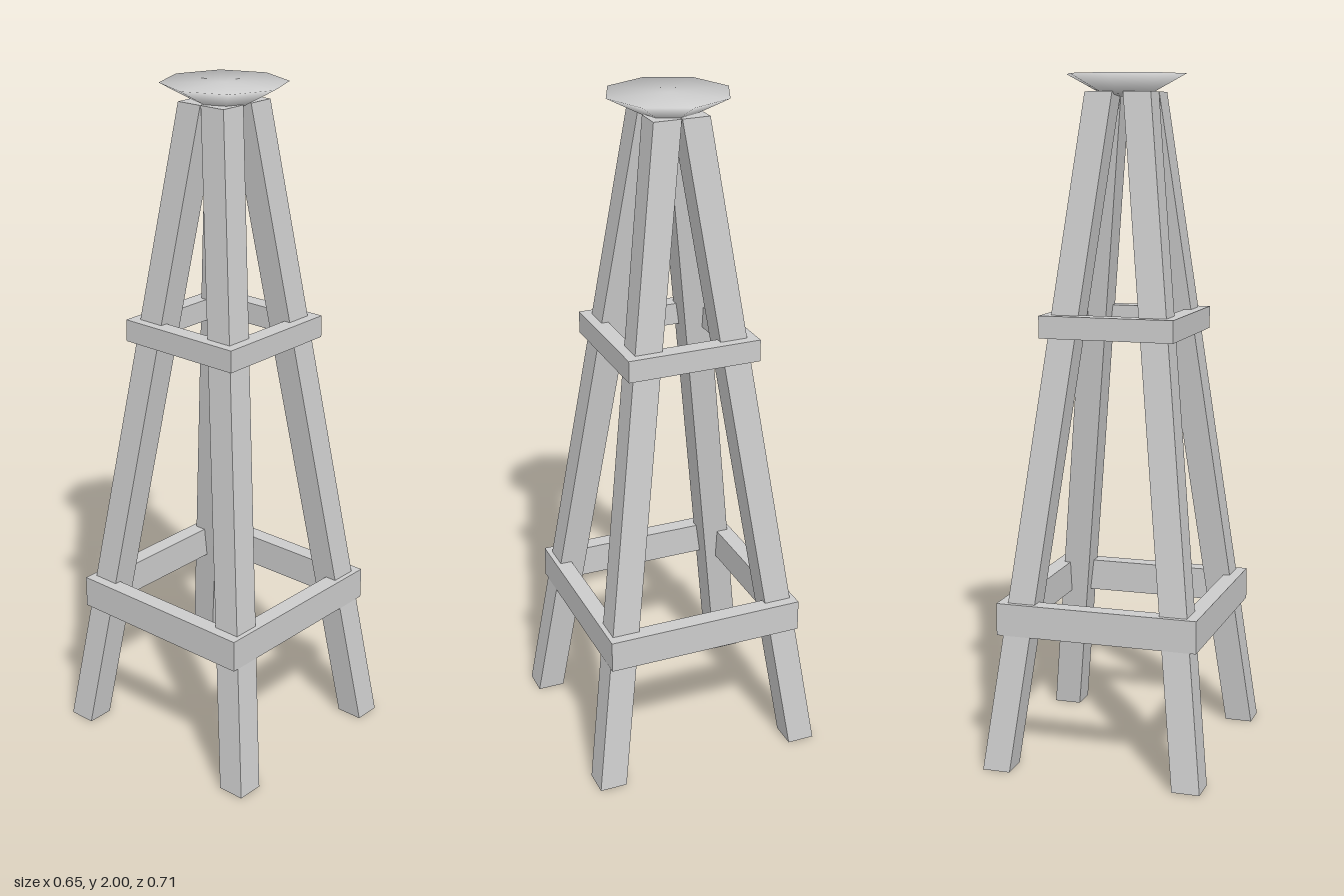
import * as THREE from 'three';

const grey = () => new THREE.MeshStandardMaterial({ color: 0xcccccc });

// Leaning post with level ends: a box whose top is sheared toward the axis
function legGeometry(width, foot, head, height) {
  const geo = new THREE.BoxGeometry(width, height, width);
  geo.translate(0, height / 2, 0);
  const pos = geo.attributes.position;
  for (let i = 0; i < pos.count; i++) {
    const t = pos.getY(i) / height;
    pos.setX(i, pos.getX(i) + THREE.MathUtils.lerp(foot[0], head[0], t));
    pos.setZ(i, pos.getZ(i) + THREE.MathUtils.lerp(foot[1], head[1], t));
  }
  const flat = geo.toNonIndexed();
  flat.computeVertexNormals();
  return flat;
}

// Square ring of rails
function braceGeometry(half, thickness, y0, y1) {
  const square = (s, path) => path.moveTo(-s, -s).lineTo(s, -s).lineTo(s, s).lineTo(-s, s).closePath();
  const shape = square(half, new THREE.Shape());
  shape.holes.push(square(half - thickness, new THREE.Path()));
  const geo = new THREE.ExtrudeGeometry(shape, { depth: y1 - y0, bevelEnabled: false });
  geo.rotateX(-Math.PI / 2);
  geo.translate(0, y0, 0);
  return geo;
}

export function createModel() {
  const model = new THREE.Group();
  model.name = 'stool';
  const add = (name, geometry) => {
    const mesh = new THREE.Mesh(geometry, grey());
    mesh.name = name;
    model.add(mesh);
  };

  // Four splayed legs
  for (const [zName, sz] of [['front', 1], ['back', -1]]) {
    for (const [xName, sx] of [['Left', 1], ['Right', -1]]) {
      add(`${zName}${xName}Leg`,
        legGeometry(0.082, [sx * 0.286, sz * 0.312], [sx * 0.057, sz * 0.042], 1.95));
    }
  }

  // Rails around the legs
  add('lowerBrace', braceGeometry(0.3, 0.05, 0.395, 0.49));
  add('upperBrace', braceGeometry(0.2, 0.05, 1.255, 1.32));

  // Eight-sided seat, flat on top and rounded below
  const profile = [[0, 1.935], [0.07, 1.942], [0.18, 2], [0, 2]]
    .map(([r, y]) => new THREE.Vector2(r, y));
  add('seat', new THREE.LatheGeometry(profile, 8));

  return model;
}
